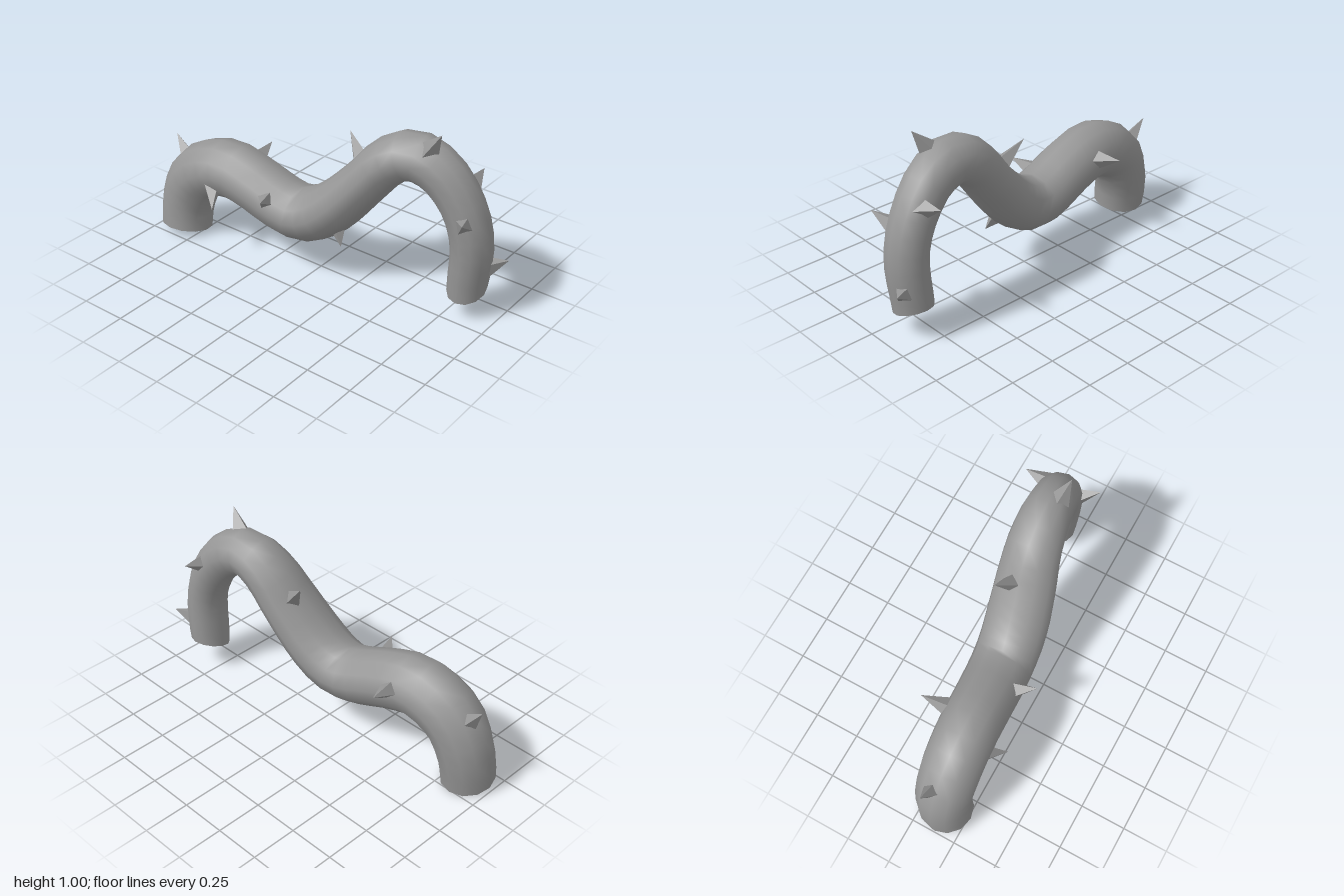
import * as THREE from 'three';

const RINGS = 34, SIDES = 12, COLOR = 0x969696;

// Centre line of the vine: x, y, z, radius in the bend plane, radius across it
const PATH = [
  [-0.855, 0.027, 0.13, 0.143, 0.143],
  [-0.848, 0.18, 0.112, 0.148, 0.148],
  [-0.76, 0.365, 0.1, 0.157, 0.158],
  [-0.56, 0.45, 0.085, 0.16, 0.16],
  [-0.36, 0.405, 0.07, 0.152, 0.162],
  [-0.2, 0.345, 0.055, 0.148, 0.166],
  [-0.09, 0.325, 0.043, 0.147, 0.168],
  [0.02, 0.36, 0.03, 0.144, 0.172],
  [0.13, 0.448, 0.012, 0.135, 0.175],
  [0.28, 0.62, -0.02, 0.123, 0.165],
  [0.4, 0.76, -0.046, 0.125, 0.148],
  [0.53, 0.817, -0.063, 0.128, 0.134],
  [0.67, 0.765, -0.08, 0.125, 0.122],
  [0.79, 0.615, -0.098, 0.114, 0.118],
  [0.847, 0.43, -0.108, 0.108, 0.116],
  [0.83, 0.14, -0.122, 0.1, 0.115],
];

// Thorns: base centre and tip
const THORNS = [
  [[-0.88, 0.42, 0.075], [-0.965, 0.525, 0.06]],
  [[-0.575, 0.365, 0.21], [-0.5, 0.31, 0.3]],
  [[-0.215, 0.42, 0.195], [-0.17, 0.46, 0.29]],
  [[0.2, 0.69, -0.065], [0.1, 0.805, -0.11]],
  [[0.855, 0.57, -0.005], [0.9, 0.62, 0.088]],
  [[0.645, 0.91, -0.025], [0.71, 1.005, -0.005]],
  [[0.785, 0.7, -0.195], [0.78, 0.73, -0.3]],
  [[0.925, 0.285, -0.175], [0.998, 0.315, -0.225]],
  [[0.145, 0.32, 0.05], [0.195, 0.24, 0.087]],
  [[-0.48, 0.475, -0.07], [-0.5, 0.51, -0.205]],
];

// Open tapered tube of oval rings swept along the centre line
function vineGeometry() {
  const curve = new THREE.CatmullRomCurve3(PATH.map(p => new THREE.Vector3(p[0], p[1], p[2])));
  const positions = [], index = [];
  for (let i = 0; i <= RINGS; i++) {
    const u = i / RINGS;
    const c = curve.getPointAt(u), t = curve.getTangentAt(u);
    // Tilt of the two open ends
    if (i === 0) t.set(0.02, 0.98, -0.18).normalize();
    if (i === RINGS) t.set(-0.02, -0.95, -0.31).normalize();
    const normal = new THREE.Vector3(0, 0, 1).cross(t).normalize();
    const across = t.clone().cross(normal);
    const k = curve.getUtoTmapping(u) * (PATH.length - 1);
    const a = PATH[Math.floor(k)], b = PATH[Math.min(Math.floor(k) + 1, PATH.length - 1)];
    const r = THREE.MathUtils.lerp(a[3], b[3], k % 1);
    const w = THREE.MathUtils.lerp(a[4], b[4], k % 1);
    for (let j = 0; j < SIDES; j++) {
      const q = j / SIDES * Math.PI * 2;
      const p = c.clone().addScaledVector(normal, Math.cos(q) * r).addScaledVector(across, Math.sin(q) * w);
      positions.push(p.x, p.y, p.z);
    }
  }
  for (let i = 0; i < RINGS; i++) {
    for (let j = 0; j < SIDES; j++) {
      const n = (j + 1) % SIDES;
      const a = i * SIDES + j, b = i * SIDES + n, c = a + SIDES, d = b + SIDES;
      index.push(a, b, c, b, d, c);
    }
  }
  const g = new THREE.BufferGeometry();
  g.setAttribute('position', new THREE.Float32BufferAttribute(positions, 3));
  g.setIndex(index);
  g.computeVertexNormals();
  return g;
}

// Faceted spike from a sunken base to its tip
function makeThorn([base, tip], i, material) {
  const from = new THREE.Vector3(...base), to = new THREE.Vector3(...tip);
  const dir = to.clone().sub(from);
  const length = dir.length() + 0.03;
  dir.normalize();
  const g = new THREE.ConeGeometry(0.058, length, 4);
  g.translate(0, -length / 2, 0);
  const thorn = new THREE.Mesh(g, material);
  thorn.name = `thorn${i + 1}`;
  thorn.position.copy(to);
  thorn.quaternion.setFromUnitVectors(new THREE.Vector3(0, 1, 0), dir);
  return thorn;
}

export function createModel() {
  const model = new THREE.Group();
  model.name = 'thornyVine';

  const vine = new THREE.Mesh(vineGeometry(),
    new THREE.MeshStandardMaterial({ color: COLOR, side: THREE.DoubleSide }));
  vine.name = 'vine';
  model.add(vine);

  const thorns = new THREE.Group();
  thorns.name = 'thorns';
  const material = new THREE.MeshStandardMaterial({ color: COLOR, flatShading: true });
  THORNS.forEach((t, i) => thorns.add(makeThorn(t, i, material)));
  model.add(thorns);
  return model;
}
